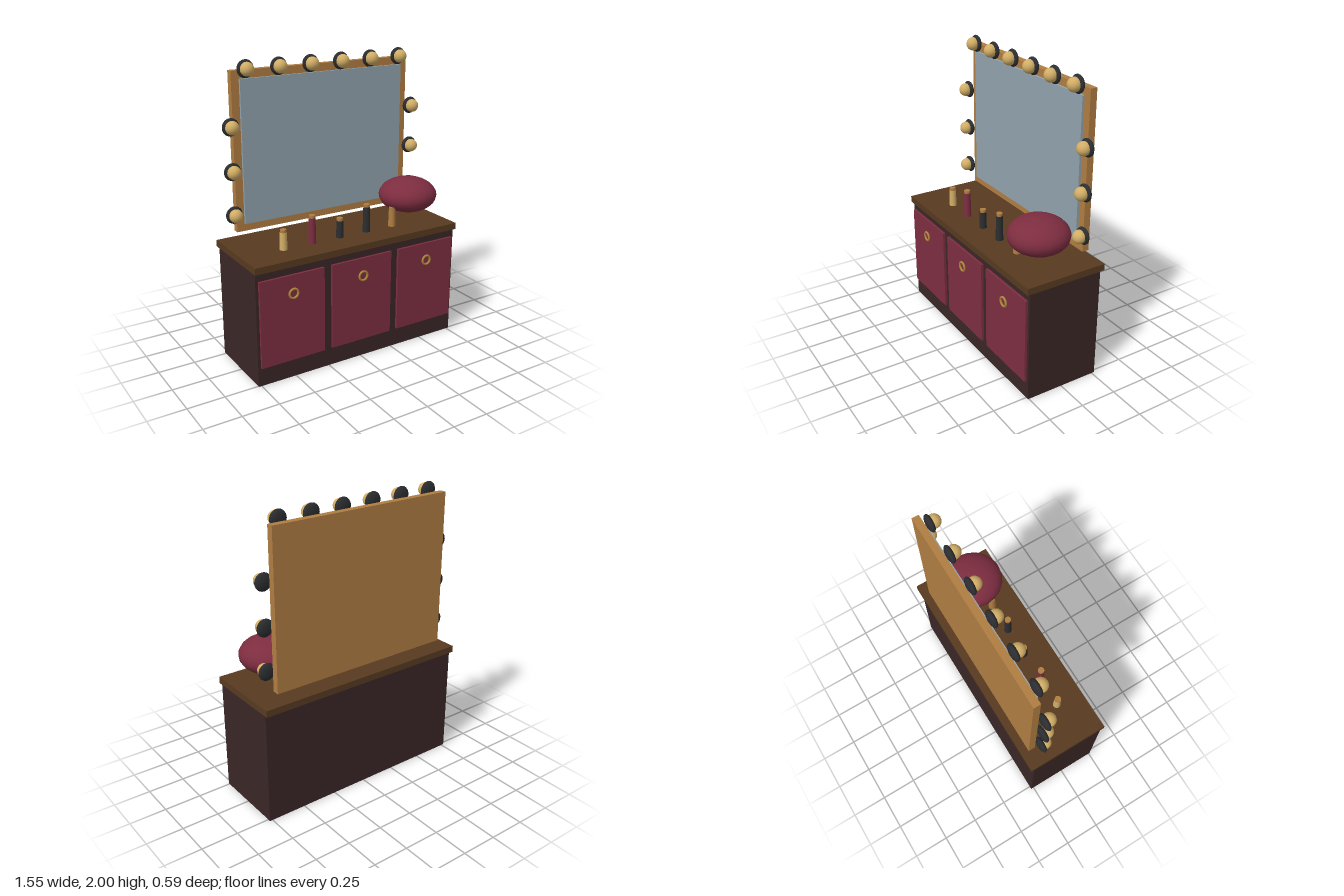
import * as THREE from 'three';

const mat = (name, color) => {
  const m = new THREE.MeshStandardMaterial({ color });
  m.name = name;
  return m;
};

export function createModel() {
  const espresso = mat('espresso wood', 0x3a2626);
  const burgundy = mat('burgundy', 0x7d2d40);
  const walnut = mat('walnut', 0x573a20);
  const oak = mat('oak', 0xb07d42);
  const glass = mat('mirror glass', 0x92a3ad);
  const charcoal = mat('charcoal', 0x2b2d30);
  const gold = mat('warm gold', 0xd2ae66);
  const brass = mat('brass', 0xb0853c);

  const model = new THREE.Group();
  model.name = 'vanityTable';

  const add = (name, geometry, material, x, y, z, parent = model) => {
    const mesh = new THREE.Mesh(geometry, material);
    mesh.name = name;
    mesh.position.set(x, y, z);
    parent.add(mesh);
    return mesh;
  };
  // Box given by its min and max corners
  const box = (name, material, [x0, y0, z0], [x1, y1, z1]) =>
    add(name, new THREE.BoxGeometry(x1 - x0, y1 - y0, z1 - z0), material,
      (x0 + x1) / 2, (y0 + y1) / 2, (z0 + z1) / 2);

  // Cabinet and top
  box('cabinet', espresso, [-0.77, 0, -0.27], [0.77, 0.775, 0.258]);
  box('tableTop', walnut, [-0.777, 0.775, -0.297], [0.777, 0.82, 0.278]);

  // Door panels with ring pulls
  for (const x of [-0.52, 0, 0.52]) {
    box('doorPanel', burgundy, [x - 0.231, 0.13, 0.25], [x + 0.231, 0.72, 0.275]);
    add('ringPull', new THREE.TorusGeometry(0.031, 0.0075, 10, 28), brass, x, 0.6, 0.287);
  }

  // Mirror
  box('mirrorFrame', oak, [-0.665, 0.88, -0.252], [0.665, 1.932, -0.205]);
  box('mirrorGlass', glass, [-0.612, 0.932, -0.21], [0.612, 1.88, -0.189]);

  // Bulbs: flattened dark socket with a gold globe in front
  const socketGeo = new THREE.SphereGeometry(0.058, 20, 14).scale(1, 1, 0.42);
  const globeGeo = new THREE.SphereGeometry(0.045, 20, 14);
  const addBulb = (x, y) => {
    const bulb = new THREE.Group();
    bulb.name = 'bulb';
    bulb.position.set(x, y, -0.18);
    add('socket', socketGeo, charcoal, 0, 0, 0, bulb);
    add('globe', globeGeo, gold, 0, 0, 0.027, bulb);
    model.add(bulb);
  };
  for (let i = 0; i < 6; i++) addBulb(-0.577 + i * 0.2308, 1.942);
  for (const side of [-1, 1])
    for (const y of [1.012, 1.3, 1.588]) addBulb(side * 0.692, y);

  // Row of bottles, alternately short and tall
  [gold, burgundy, charcoal, charcoal, oak].forEach((material, i) => {
    const height = i === 1 || i === 3 ? 0.175 : 0.117;
    const bottle = new THREE.Group();
    bottle.name = 'bottle';
    bottle.position.set(-0.481 + i * 0.2115, 0.82, 0.087);
    add('bottleBody', new THREE.CylinderGeometry(0.0225, 0.026, height, 16), material, 0, height / 2, 0, bottle);
    add('bottleCap', new THREE.CylinderGeometry(0.021, 0.021, 0.02, 16), oak, 0, height + 0.009, 0, bottle);
    model.add(bottle);
  });

  // Cushion
  add('cushion', new THREE.SphereGeometry(0.202, 20, 14).scale(1, 0.6, 1), burgundy, 0.531, 1.011, 0.037);

  return model;
}
